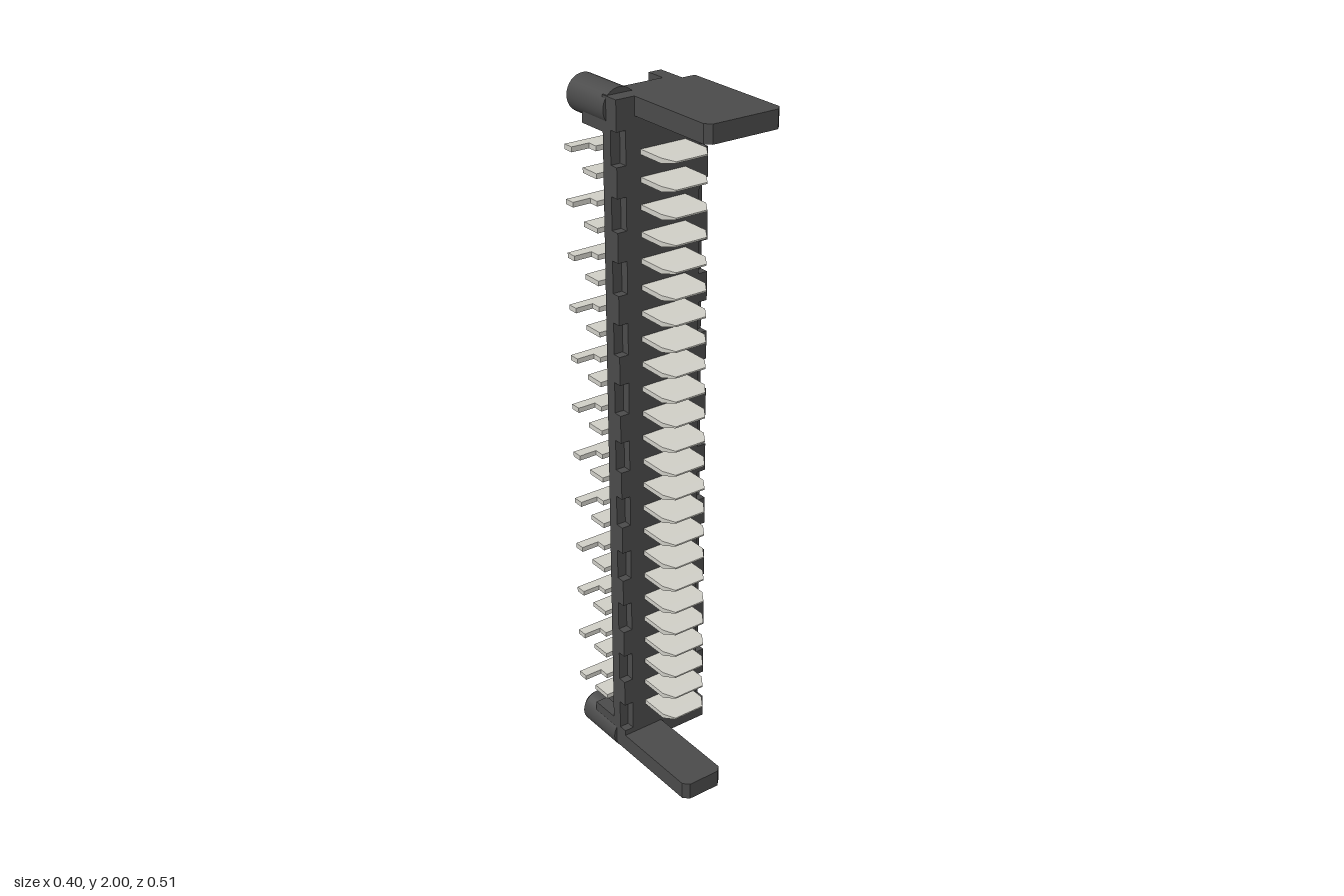
import * as THREE from 'three';

const dark = new THREE.MeshStandardMaterial({ color: 0x4a4a4a, flatShading: true });
const peg = new THREE.MeshStandardMaterial({ color: 0x4a4a4a });
const metal = new THREE.MeshStandardMaterial({ color: 0xcfcec6, flatShading: true });

const BOTTOM = 0.024, TOP = 1.984;

function add(group, name, geometry, material) {
  const mesh = new THREE.Mesh(geometry, material);
  mesh.name = name;
  group.add(mesh);
  return mesh;
}

// Box given by its limits on each axis
function box(x0, x1, y0, y1, z0, z1) {
  return new THREE.BoxGeometry(x1 - x0, y1 - y0, z1 - z0)
    .translate((x0 + x1) / 2, (y0 + y1) / 2, (z0 + z1) / 2);
}

// Front layer of the housing, with a row of notches down both edges
function notchedPlate(z0, z1) {
  const edge = [];
  for (let i = 0; i < 11; i++) {
    const y = 0.137 + i * 0.172;
    edge.push([0.143, y - 0.045], [0.115, y - 0.045], [0.115, y + 0.045], [0.143, y + 0.045]);
  }
  const right = [[0.143, BOTTOM], ...edge, [0.143, TOP]];
  const left = right.map(([x, y]) => [-x, y]).reverse();
  const shape = new THREE.Shape([...right, ...left].map(([x, y]) => new THREE.Vector2(x, y)));
  return new THREE.ExtrudeGeometry(shape, { depth: z1 - z0, bevelEnabled: false }).translate(0, 0, z0);
}

// Flat arm reaching forward, with its two front corners cut
function armGeometry(x0, x1, y0, y1) {
  const back = -0.04, front = 0.255, c = 0.016;
  const shape = new THREE.Shape([
    [x0, -back], [x0, -front + c], [x0 + c, -front], [x1 - c, -front], [x1, -front + c], [x1, -back],
  ].map(([x, y]) => new THREE.Vector2(x, y)));
  return new THREE.ExtrudeGeometry(shape, { depth: y1 - y0, bevelEnabled: false })
    .rotateX(-Math.PI / 2).translate(0, y0, 0);
}

// Contact blade tip, narrowed in width and thickness toward the front
function tipGeometry(half) {
  const g = box(-0.07, 0.07, -half, half, 0.05, 0.082);
  const p = g.attributes.position;
  for (let i = 0; i < p.count; i++) {
    if (p.getZ(i) > 0.07) p.setXY(i, p.getX(i) * 0.7, p.getY(i) * 0.3);
  }
  g.computeVertexNormals();
  return g;
}

// Round locating peg pointing backward, with a chamfered end
function pegGeometry() {
  const r = 0.051;
  const parts = [[0, -0.08], [r, -0.08], [r, -0.08], [r, -0.24], [r, -0.24], [0.037, -0.255], [0.037, -0.255], [0, -0.255]];
  return new THREE.LatheGeometry(parts.map(([x, z]) => new THREE.Vector2(x, -z)), 32)
    .rotateX(-Math.PI / 2);
}

export function createModel() {
  const model = new THREE.Group();
  model.name = 'pinHeader';

  // Housing: notched front, full-width middle, narrower back
  const housing = new THREE.Group();
  housing.name = 'housing';
  model.add(housing);
  add(housing, 'housingFront', notchedPlate(-0.062, -0.037), dark);
  add(housing, 'housingMiddle', box(-0.143, 0.143, BOTTOM, TOP, -0.095, -0.062), dark);
  add(housing, 'housingBack', box(-0.103, 0.103, BOTTOM, TOP, -0.124, -0.095), dark);

  // Guide arms at the two ends
  add(model, 'topArm', armGeometry(-0.087, 0.143, 1.934, TOP), dark);
  add(model, 'bottomArm', armGeometry(-0.143, -0.013, BOTTOM, 0.075), dark);

  // Pegs and back feet, mirrored top and bottom
  for (const s of [1, -1]) {
    const end = s > 0 ? 'top' : 'bottom';
    const span = (a, b) => (s > 0 ? [1 + a, 1 + b] : [1 - b, 1 - a]);
    add(model, end + 'Peg', pegGeometry(), peg).position.set(-0.101, 1 + s * 0.949, 0);
    add(model, end + 'Foot', box(0.063, 0.103, ...span(0.935, 0.984), -0.185, -0.124), dark);
    add(model, end + 'PegFoot', box(-0.143, -0.103, ...span(0.89, 0.94), -0.185, -0.095), dark);
  }

  // Contacts, with solder tails alternating between the two sides
  const h = 0.007;
  const tip = tipGeometry(h);
  const blade = box(-0.07, 0.07, -h, h, -0.125, 0.05);
  const bar = box(-0.145, 0.145, -h, h, -0.185, -0.124);
  for (let i = 0; i < 24; i++) {
    const contact = new THREE.Group();
    contact.name = 'contact' + (i + 1);
    contact.position.y = 1.839 - i * 0.0728;
    add(contact, 'blade', blade, metal);
    add(contact, 'bladeTip', tip, metal);
    add(contact, 'backBar', bar, metal);
    const tail = i % 2 ? box(0.145, 0.198, -h, h, -0.185, -0.154) : box(-0.198, -0.145, -h, h, -0.185, -0.154);
    add(contact, 'solderTail', tail, metal);
    model.add(contact);
  }
  return model;
}
